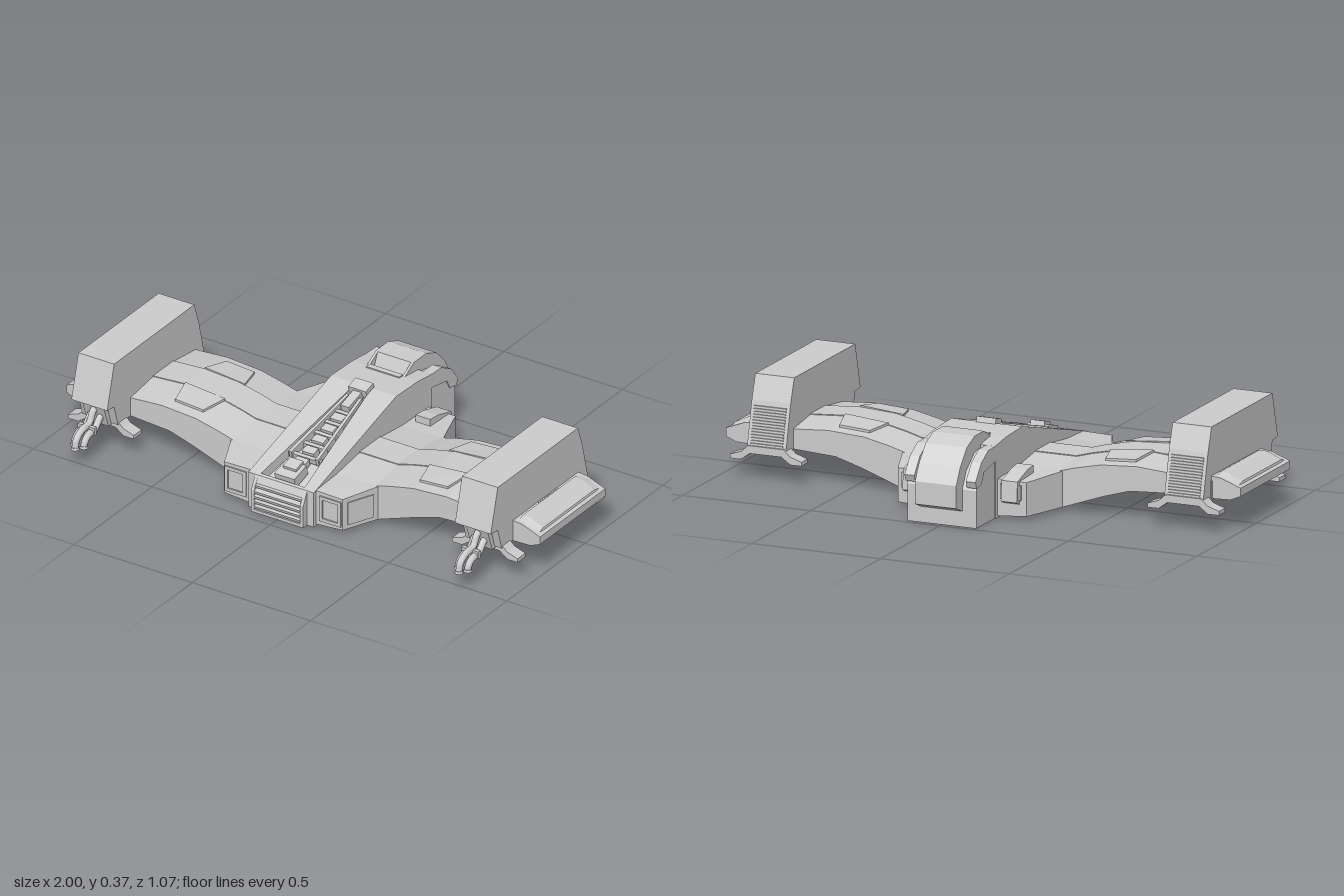
import * as THREE from 'three';

const grey = new THREE.MeshStandardMaterial({ color: 0xcccccc, flatShading: true });
const smooth = new THREE.MeshStandardMaterial({ color: 0xcccccc });

const shapeOf = (pts) => new THREE.Shape(pts.map((p) => new THREE.Vector2(p[0], p[1])));
const pathOf = (pts) => new THREE.Path(pts.map((p) => new THREE.Vector2(p[0], p[1])));
const flat = (shape, depth) => new THREE.ExtrudeGeometry(shape, { depth, bevelEnabled: false });

// profile of [z, y] points swept from x0 to x1
const sweepX = (pts, x0, x1) => flat(shapeOf(pts), x1 - x0).rotateY(-Math.PI / 2).translate(x1, 0, 0);
// profile of [x, y] points swept from z0 to z1
const sweepZ = (pts, z0, z1) => flat(shapeOf(pts), z1 - z0).translate(0, 0, z0);
// box given by its limits
const box = (x0, x1, y0, y1, z0, z1) =>
  new THREE.BoxGeometry(x1 - x0, y1 - y0, z1 - z0).translate((x0 + x1) / 2, (y0 + y1) / 2, (z0 + z1) / 2);

// solid between two rings of [x, y] at z0 (back) and z1 (front), both anticlockwise from the front
function loftZ(back, z0, front, z1) {
  const n = back.length, pos = [], idx = [];
  back.forEach((p) => pos.push(p[0], p[1], z0));
  front.forEach((p) => pos.push(p[0], p[1], z1));
  for (let i = 0; i < n; i++) {
    const j = (i + 1) % n;
    idx.push(i, j, n + j, i, n + j, n + i);
  }
  for (const [a, b, c] of THREE.ShapeUtils.triangulateShape(front.map((p) => new THREE.Vector2(...p)), [])) {
    idx.push(n + a, n + b, n + c, c, b, a);
  }
  const g = new THREE.BufferGeometry();
  g.setAttribute('position', new THREE.Float32BufferAttribute(pos, 3));
  g.setIndex(idx);
  const out = g.toNonIndexed();
  out.computeVertexNormals();
  return out;
}

// copy on the other side of x = 0, with the winding turned back
function mirrored(geo) {
  const g = (geo.index ? geo.toNonIndexed() : geo.clone()).scale(-1, 1, 1);
  for (const a of Object.values(g.attributes)) {
    for (let t = 0; t < a.count; t += 3) {
      for (let k = 0; k < a.itemSize; k++) {
        const u = a.getComponent(t + 1, k);
        a.setComponent(t + 1, k, a.getComponent(t + 2, k));
        a.setComponent(t + 2, k, u);
      }
    }
  }
  return g;
}

// height of the sloping nose deck
const deckY = (z) => 0.285 - Math.max(0, z + 0.1) * 0.27;
// wing crest line; the upper side falls away in front of and behind the spar strip
const wingTop = [[0.1, 0.168], [0.3, 0.168], [0.36, 0.185], [0.46, 0.207], [0.6, 0.216], [0.74, 0.206], [0.89, 0.195]];
const wingFall = 0.018;
function wingY(x, z) {
  const i = wingTop.findIndex((p) => p[0] >= x);
  const [a, b] = [wingTop[i - 1], wingTop[i]];
  const away = Math.max(0, Math.abs(z - 0.07) - 0.065) / 0.145;
  return a[1] + ((b[1] - a[1]) * (x - a[0])) / (b[0] - a[0]) - away * wingFall;
}

export function createModel() {
  const model = new THREE.Group();
  const add = (name, geo, mat = grey) => {
    const m = new THREE.Mesh(geo, mat);
    m.name = name;
    model.add(m);
  };
  const pair = (name, geo, mat = grey) => {
    add(name + 'Left', geo, mat);
    add(name + 'Right', mirrored(geo), mat);
  };

  // Fuselage core, below the deck plate
  const drop = 0.04;
  add('fuselage', sweepX([[0.43, 0.003], [0.43, deckY(0.43) - drop], [-0.1, 0.285 - drop], [-0.24, 0.28 - drop],
    [-0.24, 0.003]], -0.138, 0.138));
  // Deck plate with a tapering trench, bent to the deck line
  const plan = shapeOf([[-0.138, -0.43], [0.138, -0.43], [0.138, 0.1], [-0.138, 0.1]]);
  plan.holes.push(pathOf([[-0.092, -0.418], [-0.035, 0.08], [0.035, 0.08], [0.092, -0.418]]));
  const deck = flat(plan, drop).rotateX(-Math.PI / 2);
  const dp = deck.attributes.position;
  for (let i = 0; i < dp.count; i++) dp.setY(i, dp.getY(i) + deckY(dp.getZ(i)) - drop);
  add('deckPlate', deck);
  add('rearDeck', sweepX([[-0.1, 0.24], [-0.1, 0.285], [-0.24, 0.28], [-0.24, 0.24]], -0.138, 0.138));
  pair('rearFlank', sweepX([[-0.24, 0.003], [-0.24, 0.28], [-0.33, 0.268], [-0.33, 0.003]], 0.075, 0.138));

  // Machinery in the trench
  const tilt = Math.atan(0.27);
  const onDeck = (w, h, l, x, z, lift) => new THREE.BoxGeometry(w, h, l).rotateX(tilt).translate(x, deckY(z) + lift, z);
  for (let i = 0; i < 5; i++) {
    const z = 0.03 + i * 0.06;
    add('trenchRung', onDeck(0.085 + i * 0.013, 0.022, 0.014, 0, z, -0.02));
    add('trenchBlock', onDeck(0.05, 0.026, 0.034, 0, z + 0.03, -0.018));
  }
  pair('trenchRail', new THREE.BoxGeometry(0.012, 0.03, 0.34).rotateY(0.085).rotateX(tilt).translate(0.042, deckY(0.12) - 0.012, 0.12));
  add('trenchFrontBlock', onDeck(0.085, 0.04, 0.08, 0, 0.365, -0.012));
  add('trenchFrontStep', onDeck(0.055, 0.02, 0.05, 0, 0.35, 0.01));
  add('trenchCap', onDeck(0.075, 0.03, 0.05, 0, -0.085, 0.003));
  add('trenchPost', onDeck(0.035, 0.03, 0.09, 0, -0.025, -0.008));

  // Nose grille with a sloping brow
  pair('noseCheek', sweepX([[0.43, 0.003], [0.455, 0.003], [0.455, 0.09], [0.43, 0.142]], 0.097, 0.11));
  add('noseBrow', sweepX([[0.43, 0.142], [0.43, 0.115], [0.442, 0.115]], -0.097, 0.097));
  add('noseSill', box(-0.097, 0.097, 0.003, 0.015, 0.43, 0.455));
  for (let i = 0; i < 5; i++) {
    add('noseSlat', new THREE.BoxGeometry(0.196, 0.011, 0.02).rotateX(0.3).translate(0, 0.027 + i * 0.02, i > 3 ? 0.437 : 0.446));
  }

  // Tail block, curved hood with a sunken window, and side brackets
  add('tailBlock', sweepX([[-0.3, 0.003], [-0.3, 0.262], [-0.38, 0.25], [-0.45, 0.2], [-0.482, 0.14], [-0.482, 0.003]], -0.134, 0.134));
  const hoodBack = [[-0.38, 0.31], [-0.445, 0.283], [-0.5, 0.225], [-0.534, 0.165], [-0.534, 0.082], [-0.48, 0.06], [-0.24, 0.06]];
  add('tailHood', sweepX([[-0.24, 0.2], [-0.25, 0.2], [-0.296, 0.31], ...hoodBack], -0.07, 0.07));
  pair('hoodCheek', sweepX([[-0.22, 0.27], [-0.245, 0.28], [-0.3, 0.31], ...hoodBack], 0.07, 0.08));
  add('hoodSill', box(-0.07, 0.07, 0.26, 0.285, -0.245, -0.222));
  pair('hoodBracket', sweepX([[-0.32, 0.268], [-0.39, 0.266], [-0.45, 0.233], [-0.497, 0.175], [-0.487, 0.15],
    [-0.445, 0.158], [-0.425, 0.195], [-0.32, 0.215]], 0.1, 0.138));

  // Shoulders joining the fuselage to the wings
  const root = [[0.12, 0.008], [0.31, 0.018], [0.31, 0.15], [0.12, 0.15]];
  const end = [[0.12, 0.008], [0.25, 0.018], [0.25, 0.142], [0.12, 0.145]];
  pair('shoulderMiddle', loftZ(root, -0.14, root, 0.28));
  pair('shoulderFront', loftZ(root, 0.28, end, 0.415));
  pair('shoulderRear', loftZ(end, -0.31, root, -0.14));
  const frame = shapeOf([[0.155, 0.03], [0.245, 0.03], [0.245, 0.13], [0.155, 0.13]]);
  frame.holes.push(pathOf([[0.168, 0.043], [0.168, 0.117], [0.232, 0.117], [0.232, 0.043]]));
  pair('intakeFrame', flat(frame, 0.012).translate(0, 0, 0.409));
  pair('shoulderSidePanel', new THREE.BoxGeometry(0.11, 0.09, 0.008).rotateY(Math.atan2(0.135, 0.06)).translate(0.281, 0.08, 0.347));
  pair('rearThruster', sweepX([[-0.19, 0.175], [-0.24, 0.17], [-0.325, 0.145], [-0.332, 0.07], [-0.31, 0.06], [-0.19, 0.06]], 0.16, 0.222));
  pair('rearThrusterLip', box(0.152, 0.23, 0.075, 0.13, -0.32, -0.29));

  // Wings: a level crest between two falling sides, with a spar strip and hatches
  const under = [[0.89, 0.108], [0.73, 0.115], [0.57, 0.105], [0.47, 0.075], [0.31, 0.018], [0.1, 0.01]];
  const crest = [...under, ...wingTop].map((_, i, all) => all[all.length - 1 - i]).reverse();
  const ring = (fall) => [...under.slice().reverse(), ...wingTop.slice().reverse().map(([x, y]) => [x, y - fall])];
  pair('wingMiddle', loftZ(ring(0), 0.005, ring(0), 0.135));
  pair('wingFront', loftZ(ring(0), 0.135, ring(wingFall), 0.28));
  pair('wingRear', loftZ(ring(wingFall), -0.138, ring(0), 0.005));
  const strip = crest.slice(under.length, -1);
  pair('wingStrip', sweepZ([...strip.map(([x, y]) => [x, y + 0.003]), ...strip.slice().reverse().map(([x, y]) => [x, y - 0.01])], 0.005, 0.135));
  for (const [z0, z1] of [[0.007, -0.095], [0.133, 0.235]]) {
    const hatch = shapeOf([[0.432, -z0], [0.6, -z0], [0.576, -z1], [0.458, -z1]]);
    const g = flat(hatch, 0.02).rotateX(-Math.PI / 2);
    const p = g.attributes.position;
    for (let i = 0; i < p.count; i++) p.setY(i, p.getY(i) + wingY(p.getX(i), p.getZ(i)) - 0.011);
    pair('wingHatch', g);
  }

  // Wingtip pods: slim core, with tapering bulges above and below
  pair('wingtipPod', sweepZ([[0.88, 0.195], [0.925, 0.19], [1, 0.162], [1, 0.132], [0.96, 0.115], [0.88, 0.112]], -0.132, 0.287));
  const bulge = (name, outer, inner) => {
    pair(name + 'Middle', loftZ(outer, -0.085, outer, 0.245));
    pair(name + 'Rear', loftZ(inner, -0.125, outer, -0.085));
    pair(name + 'Front', loftZ(outer, 0.245, inner, 0.28));
  };
  bulge('wingtipRidge', [[0.9, 0.18], [0.99, 0.155], [0.985, 0.175], [0.93, 0.2], [0.9, 0.201]],
    [[0.9, 0.18], [0.99, 0.155], [0.985, 0.164], [0.93, 0.187], [0.9, 0.19]]);
  bulge('wingtipKeel', [[0.88, 0.102], [0.925, 0.101], [0.985, 0.123], [0.88, 0.13]],
    [[0.88, 0.112], [0.925, 0.113], [0.985, 0.126], [0.88, 0.13]]);

  // Upright engine housings with louvred rear
  pair('engineHousing', sweepX([[0.385, 0.373], [-0.13, 0.373], [-0.16, 0.285], [-0.202, 0.115], [0.36, 0.115],
    [0.385, 0.2], [0.43, 0.205]], 0.735, 0.886));
  pair('engineChin', sweepX([[0.41, 0.205], [0.36, 0.205], [0.35, 0.108], [0.375, 0.108]], 0.765, 0.856));
  for (let i = 0; i < 14; i++) {
    const t = i / 13;
    pair('engineLouvre', box(0.748, 0.873, 0.132 + t * 0.13, 0.137 + t * 0.13, -0.202 + t * 0.032, -0.18 + t * 0.032));
  }

  // Skids, front and rear
  const skid = [[0.672, 0.075], [0.715, 0.075], [0.75, 0.1], [0.872, 0.1], [0.907, 0.075], [0.95, 0.075],
    [0.95, 0.09], [0.905, 0.105], [0.88, 0.128], [0.742, 0.128], [0.717, 0.105], [0.672, 0.09]];
  pair('frontSkid', sweepZ(skid, 0.305, 0.355));
  pair('rearSkid', sweepZ(skid, -0.207, -0.155));

  // Hoses hanging from the engine fronts: a long middle one and two short ones
  const upper = [[0.375, 0.185], [0.405, 0.17], [0.43, 0.132], [0.475, 0.126], [0.51, 0.105], [0.52, 0.074]];
  const lower = [[0.365, 0.165], [0.395, 0.14], [0.425, 0.112], [0.465, 0.107], [0.487, 0.092], [0.494, 0.074]];
  for (const [x, pts] of [[0.811, upper], [0.791, lower], [0.831, lower]]) {
    const path = new THREE.CatmullRomCurve3(pts.map(([z, y]) => new THREE.Vector3(x, y, z)));
    pair('hose', new THREE.TubeGeometry(path, 24, 0.013, 8), smooth);
    const [z, y] = pts[pts.length - 1];
    pair('hoseEnd', new THREE.CylinderGeometry(0.014, 0.016, 0.01, 10).translate(x, y, z), smooth);
  }
  pair('hoseClamp', box(0.776, 0.846, 0.1, 0.13, 0.435, 0.45));

  return model;
}
